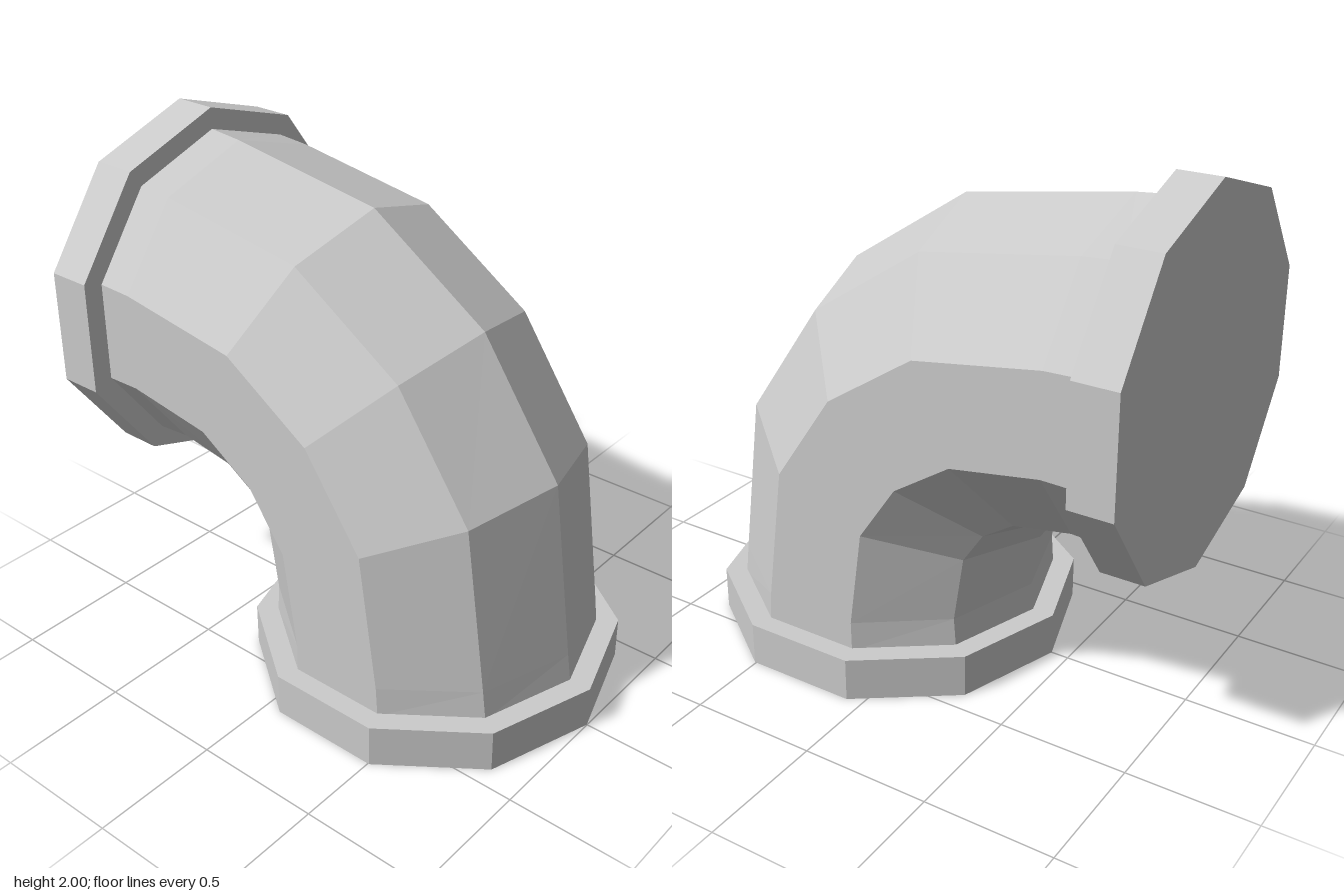
import * as THREE from 'three';

const SIDES = 10;

// Ten-sided tube lofted through planar rings, each given by its outer and inner bend points [z, y]
function bentTube(rings, radius) {
  const positions = [];
  const index = [];
  for (const [oz, oy, iz, iy] of rings) {
    for (let s = 0; s < SIDES; s++) {
      const a = (s / SIDES) * Math.PI * 2;
      const t = (1 + Math.cos(a)) / 2;
      positions.push(radius * Math.sin(a), iy + (oy - iy) * t, iz + (oz - iz) * t);
    }
  }
  for (let r = 0; r < rings.length - 1; r++) {
    for (let s = 0; s < SIDES; s++) {
      const a = r * SIDES + s;
      const b = r * SIDES + ((s + 1) % SIDES);
      index.push(a, b, b + SIDES, a, b + SIDES, a + SIDES);
    }
  }
  const geometry = new THREE.BufferGeometry();
  geometry.setAttribute('position', new THREE.Float32BufferAttribute(positions, 3));
  geometry.setIndex(index);
  const flat = geometry.toNonIndexed();
  flat.computeVertexNormals();
  return flat;
}

export function createModel() {
  const group = new THREE.Group();
  group.name = 'pipeElbow';
  const material = new THREE.MeshStandardMaterial({ color: 0xcccccc, flatShading: true });

  // Curved pipe body, from the floor flange up and round to the back flange
  const rings = [
    [0.913, 0.16, -0.342, 0.16],
    [0.895, 0.28, -0.33, 0.28],
    [0.80, 0.98, -0.365, 0.50],
    [0.465, 1.47, -0.42, 0.585],
    [-0.03, 1.80, -0.505, 0.64],
    [-0.69, 1.903, -0.69, 0.672],
    [-0.84, 1.917, -0.84, 0.66],
  ];
  const pipe = new THREE.Mesh(bentTube(rings, 0.631), material);
  pipe.name = 'curvedPipe';
  group.add(pipe);

  // Closed flange at each end
  const flangeGeometry = new THREE.CylinderGeometry(0.714, 0.714, 0.17, SIDES);
  const bottomFlange = new THREE.Mesh(flangeGeometry, material);
  bottomFlange.name = 'bottomFlange';
  bottomFlange.position.set(0, 0.085, 0.285);
  group.add(bottomFlange);

  const backFlange = new THREE.Mesh(flangeGeometry, material);
  backFlange.name = 'backFlange';
  backFlange.rotation.x = -Math.PI / 2;
  backFlange.position.set(0, 1.286, -0.914);
  group.add(backFlange);

  return group;
}
